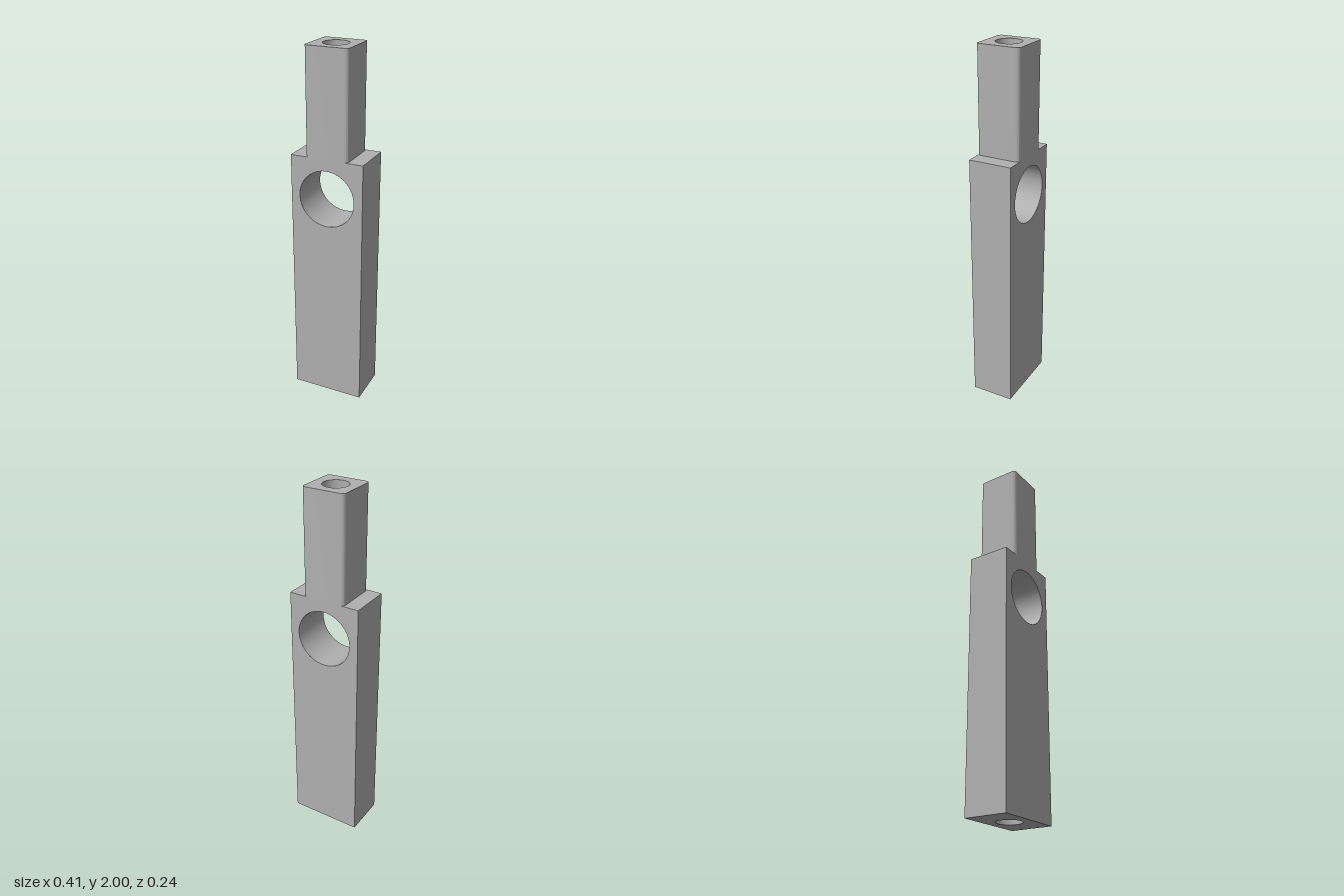
import * as THREE from 'three';
import { toCreasedNormals } from 'three/addons/utils/BufferGeometryUtils.js';

const W = 0.204, D = 0.119;            // half width and half depth of the block
const SHOULDER = 1.43, TOP = 2;        // heights
const EYE_Y = 1.212, EYE_R = 0.156;    // cross hole
const BORE_R = 0.068, BORE_DEPTH = 0.4;
const FILLET = 0.02;

const steel = new THREE.MeshStandardMaterial({ color: 0xb0b0b0, side: THREE.DoubleSide });
steel.name = 'plain grey';

function rectangle(x0, y0, x1, y1) {
  return new THREE.Shape([[x0, y0], [x1, y0], [x1, y1], [x0, y1]].map(p => new THREE.Vector2(...p)));
}

function roundedSquare(h, r) {
  const s = new THREE.Shape(), c = h - r;
  s.absarc(c, c, r, 0, Math.PI / 2);
  s.absarc(-c, c, r, Math.PI / 2, Math.PI);
  s.absarc(-c, -c, r, Math.PI, Math.PI * 1.5);
  s.absarc(c, -c, r, Math.PI * 1.5, Math.PI * 2);
  s.closePath();
  return s;
}

function circleHole(shape, x, y, r) {
  shape.holes.push(new THREE.Path().absarc(x, y, r, 0, Math.PI * 2, true));
  return shape;
}

export function createModel() {
  const model = new THREE.Group();
  model.name = 'slottedBarWithTang';
  const add = (name, geometry) => {
    const mesh = new THREE.Mesh(geometry, steel);
    mesh.name = name;
    model.add(mesh);
    return mesh;
  };

  // Front and back faces with the cross hole, side faces, shoulders
  const face = new THREE.ShapeGeometry(circleHole(rectangle(-W, 0, W, SHOULDER), 0, EYE_Y, EYE_R), 48);
  face.translate(0, 0, D);
  const side = new THREE.PlaneGeometry(2 * D, SHOULDER).rotateY(Math.PI / 2).translate(W, SHOULDER / 2, 0);

  const ledge = new THREE.Shape();
  ledge.moveTo(W, -D);
  ledge.lineTo(W, D);
  ledge.lineTo(D - FILLET, D);
  ledge.absarc(D - FILLET, D - FILLET, FILLET, Math.PI / 2, 0, true);
  ledge.lineTo(D, FILLET - D);
  ledge.absarc(D - FILLET, FILLET - D, FILLET, 0, -Math.PI / 2, true);
  ledge.closePath();
  const shoulder = new THREE.ShapeGeometry(ledge, 8).rotateX(-Math.PI / 2).translate(0, SHOULDER, 0);

  for (const turn of [0, Math.PI]) {
    add(turn ? 'blockBack' : 'blockFront', face).rotation.y = turn;
    add(turn ? 'blockRightSide' : 'blockLeftSide', side).rotation.y = turn;
    add(turn ? 'rightShoulder' : 'leftShoulder', shoulder).rotation.y = turn;
  }

  // Wall of the cross hole
  add('crossHole', new THREE.CylinderGeometry(EYE_R, EYE_R, 2 * D, 48, 1, true)
    .rotateX(Math.PI / 2).translate(0, EYE_Y, 0));

  // Underside of the block
  add('blockBottom', new THREE.ShapeGeometry(circleHole(rectangle(-W, -D, W, D), 0, 0, BORE_R), 32)
    .rotateX(Math.PI / 2));

  // Tang walls: only the sides of the extrusion are kept
  const extruded = new THREE.ExtrudeGeometry(roundedSquare(D, FILLET),
    { depth: TOP - SHOULDER, bevelEnabled: false, curveSegments: 8 });
  const { start, count } = extruded.groups[1];
  extruded.setIndex(Array.from({ length: count }, (_, i) => start + i));
  extruded.clearGroups();
  add('tang', toCreasedNormals(extruded.toNonIndexed(), 0.5)
    .rotateX(-Math.PI / 2).translate(0, SHOULDER, 0));

  // Top of the tang
  add('tangTop', new THREE.ShapeGeometry(circleHole(roundedSquare(D, FILLET), 0, 0, BORE_R), 32)
    .rotateX(-Math.PI / 2).translate(0, TOP, 0));

  // Blind bores in both ends
  for (const [name, mouth, dir] of [['topBore', TOP, -1], ['bottomBore', 0, 1]]) {
    add(name, new THREE.CylinderGeometry(BORE_R, BORE_R, BORE_DEPTH, 32, 1, true)
      .translate(0, mouth + dir * BORE_DEPTH / 2, 0));
    add(name + 'Floor', new THREE.CircleGeometry(BORE_R, 32)
      .rotateX(dir * Math.PI / 2).translate(0, mouth + dir * BORE_DEPTH, 0));
  }
  return model;
}
